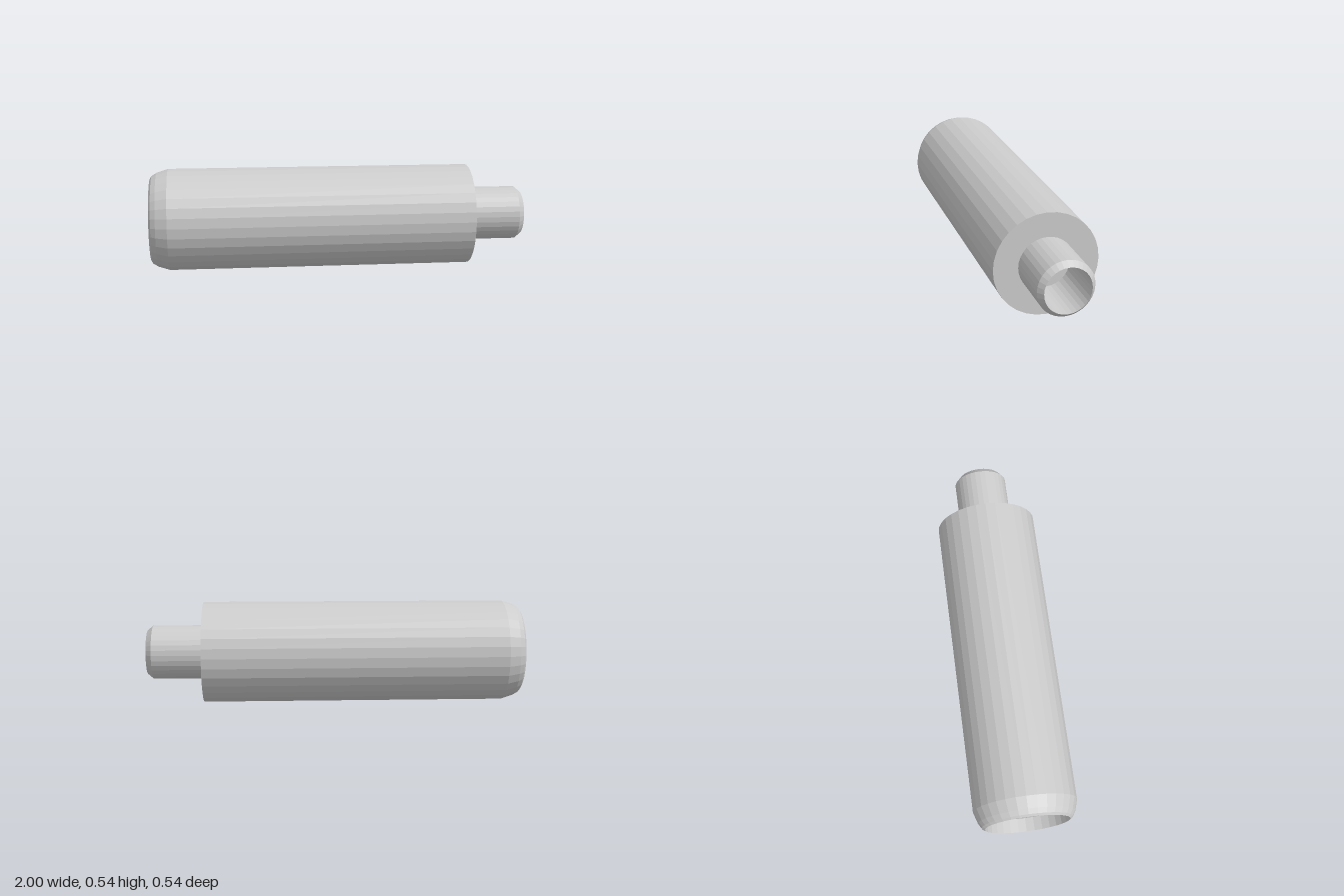
import * as THREE from 'three';

const RADIUS = 0.269;
const SEGMENTS = 32;

// Turns a profile of [axial x, radius] points around the x axis.
function turned(name, profile, material) {
  const points = profile.map(([x, r]) => new THREE.Vector2(r, x));
  const geometry = new THREE.LatheGeometry(points, SEGMENTS);
  geometry.rotateZ(-Math.PI / 2);
  const mesh = new THREE.Mesh(geometry, material);
  mesh.name = name;
  mesh.position.y = RADIUS;
  return mesh;
}

export function createModel() {
  const material = new THREE.MeshStandardMaterial({
    color: 0xcccccc, flatShading: true, side: THREE.DoubleSide,
  });
  const group = new THREE.Group();
  group.name = 'steppedPin';

  // Main barrel: recessed socket, rounded rim, straight wall, flat shoulder
  group.add(turned('barrel', [
    [-0.84, 0], [-0.84, 0.195], [-0.93, 0.195], [-0.93, 0.215], [-1, 0.22],
    [-0.99, 0.235], [-0.965, 0.25], [-0.905, RADIUS],
    [0.7, RADIUS], [0.7, 0.143],
  ], material));

  // Hollow spigot: outer wall, chamfered tip, blind bore
  group.add(turned('spigot', [
    [0.7, 0.143], [0.97, 0.143], [1, 0.118], [0.7, 0.118], [0.7, 0],
  ], material));

  return group;
}
